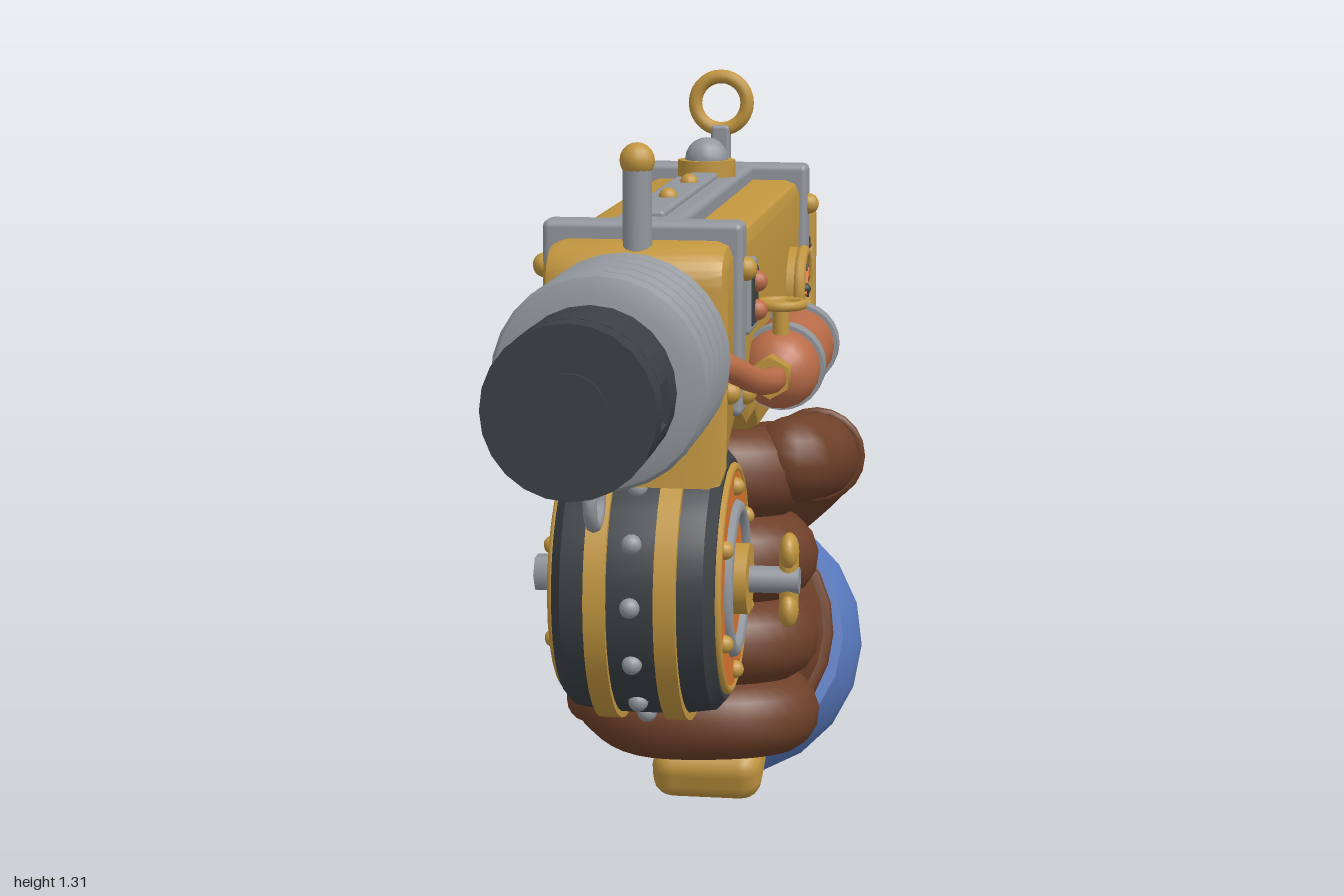
import * as THREE from 'three';
import { toCreasedNormals } from 'three/addons/utils/BufferGeometryUtils.js';
import { RoundedBoxGeometry } from 'three/addons/geometries/RoundedBoxGeometry.js';

const mat = (name, color) => Object.assign(new THREE.MeshStandardMaterial({ color }), { name });
const V = (x, y, z) => new THREE.Vector3(x, y, z);

export function createModel() {
  const brass = mat('brass', 0xc2963f), leather = mat('leather', 0x6e4029), wood = mat('wood', 0x64392a),
    steel = mat('steel', 0x92979d), iron = mat('iron', 0x3b4044), copper = mat('copper', 0xb96c48),
    orange = mat('orange', 0xd9762f), blue = mat('blue', 0x5b7cc2), cream = mat('cream', 0xd3ad6b);
  const model = new THREE.Group(), gun = new THREE.Group(), arm = new THREE.Group();
  gun.name = 'gun'; arm.name = 'glovedArm';
  gun.position.x = 0.013;
  model.add(gun, arm);
  let parent = gun;

  const add = (name, geo, m, x = 0, y = 0, z = 0, rx = 0) => {
    const mesh = new THREE.Mesh(geo, m);
    mesh.name = name; mesh.position.set(x, y, z); mesh.rotation.x = rx;
    parent.add(mesh);
    return mesh;
  };
  const box = (w, h, d, r = 0.01) => new RoundedBoxGeometry(w, h, d, 2, r);
  const cylX = (r, l, n = 24) => new THREE.CylinderGeometry(r, r, l, n).rotateZ(Math.PI / 2);
  const cylZ = (r, l, n = 24) => new THREE.CylinderGeometry(r, r, l, n).rotateX(Math.PI / 2);
  const cylY = (r, l, n = 16) => new THREE.CylinderGeometry(r, r, l, n);
  const ball = (r) => new THREE.SphereGeometry(r, 14, 10);
  const lathe = (pts, n = 28) => toCreasedNormals(
    new THREE.LatheGeometry(pts.map((p) => new THREE.Vector2(p[0], p[1])), n), 0.6);
  const tube = (pts, r, n = 24, s = 12) =>
    new THREE.TubeGeometry(new THREE.CatmullRomCurve3(pts), n, r, s);
  const torusX = (R, r) => new THREE.TorusGeometry(R, r, 8, 28).rotateY(Math.PI / 2);
  // side profile given as (z, y), extruded across the width
  const slab = (shape, width, bevel) => toCreasedNormals(new THREE.ExtrudeGeometry(shape, {
    depth: width - 2 * bevel, bevelEnabled: true, bevelThickness: bevel, bevelSize: bevel,
    bevelOffset: -bevel, bevelSegments: 2, curveSegments: 20,
  }).translate(0, 0, bevel - width / 2).rotateY(-Math.PI / 2), 0.5);

  // slotted muzzle
  add('muzzleFront', cylZ(0.107, 0.043), iron, 0, 1, 0.9785);
  add('muzzleRear', cylZ(0.107, 0.055), iron, 0, 1, 0.873);
  add('muzzleCap', cylZ(0.048, 0.008), iron, 0, 1, 1);
  for (const s of [1, -1]) {
    const wall = new THREE.Shape();
    wall.absarc(0, 0, 0.107, 0.27, Math.PI - 0.27, false);
    wall.absarc(0, 0, 0.08, Math.PI - 0.27, 0.27, true);
    const w = add('muzzleWall', new THREE.ExtrudeGeometry(wall, { depth: 0.06, bevelEnabled: false }), iron, 0, 1, 0.899);
    if (s < 0) w.rotation.z = Math.PI;
  }

  // barrel, cooling fins and hanging ring
  add('barrelCollar', cylZ(0.092, 0.05), brass, 0, 1, 0.825);
  add('barrelCore', cylZ(0.082, 0.32), steel, 0, 1, 0.68);
  add('barrelNeck', cylZ(0.105, 0.07), brass, 0, 1, 0.55);
  for (let i = 0; i < 5; i++)
    add('coolingFin', lathe([[0, -0.018], [0.11, -0.018], [0.135, -0.009], [0.14, 0], [0.135, 0.009], [0.11, 0.018], [0, 0.018]]),
      steel, 0, 1, 0.59 + i * 0.0475, Math.PI / 2);
  add('barrelRing', torusX(0.033, 0.009), steel, 0, 0.86, 0.825);
  add('ringLug', cylY(0.018, 0.03), brass, 0, 0.9, 0.825);

  // receiver with wheel arch
  const b = new THREE.Shape();
  b.moveTo(0.53, 0.815); b.lineTo(0.53, 1.08); b.quadraticCurveTo(0.53, 1.14, 0.46, 1.14);
  b.lineTo(-0.46, 1.14); b.lineTo(-0.46, 0.82); b.lineTo(0.11, 0.82); b.lineTo(0.15, 0.85);
  b.lineTo(0.245, 0.85); b.absarc(0.37, 0.655, 0.226, 2.13, 0.79, true);
  add('receiver', slab(b, 0.25, 0.022), brass);
  add('frontStrap', box(0.275, 0.265, 0.05), steel, 0, 1.032, 0.425);
  add('rearStrap', box(0.275, 0.37, 0.05), steel, 0, 0.98, -0.405);
  add('topRail', box(0.1, 0.035, 0.8), steel, 0, 1.147, 0.02);
  add('railRib', box(0.045, 0.02, 0.74, 0.006), steel, 0, 1.163, 0.02);
  for (const z of [0.21, 0, -0.32]) add('railRivet', ball(0.014), brass, 0, 1.172, z);
  for (const s of [1, -1]) {
    for (const [y, z] of [[1.1, 0.425], [0.93, 0.425], [1.1, -0.405], [0.84, -0.405]])
      add('strapRivet', ball(0.017), brass, s * 0.138, y, z);
    for (const z of [-0.12, -0.22, -0.31]) add('bodyRivet', ball(0.014), brass, s * 0.125, 0.855, z);
    add('frontRivet', ball(0.016), brass, s * 0.125, 0.94, 0.49);
  }

  // sights and filler nut
  add('frontSight', cylY(0.02, 0.12), steel, 0, 1.185, 0.485);
  add('frontSightTip', ball(0.024), brass, 0, 1.25, 0.485);
  add('rearSightPost', box(0.03, 0.1, 0.03, 0.006), steel, 0, 1.18, -0.36);
  add('rearSightRing', new THREE.TorusGeometry(0.042, 0.011, 10, 28), brass, 0, 1.265, -0.36);
  add('fillerCollar', cylY(0.045, 0.035), brass, 0, 1.172, -0.19);
  add('fillerDome', ball(0.034), steel, 0, 1.19, -0.19);

  // stock and butt plate
  const st = new THREE.Shape([[-0.44, 0.835], [-0.44, 1.06], [-0.85, 1.03], [-0.85, 0.755]].map((p) => new THREE.Vector2(...p)));
  add('stock', slab(st, 0.19, 0.018), wood);
  add('buttPlate', box(0.21, 0.3, 0.042, 0.014), brass, 0, 0.895, -0.864);
  for (const y of [0.81, 0.97]) add('buttScrew', ball(0.016), steel, 0, y, -0.884);
  add('stockRingPost', cylY(0.018, 0.06), steel, 0, 0.78, -0.705);
  add('stockRing', torusX(0.036, 0.01), steel, 0, 0.72, -0.705);
  add('stockPatch', box(0.018, 0.15, 0.245, 0.006), iron, 0.095, 0.93, -0.66);
  add('stockPatchFace', box(0.018, 0.128, 0.222, 0.006), wood, 0.098, 0.93, -0.66);
  for (let i = 0; i < 11; i++) for (const s of [1, -1])
    add('stitch', new THREE.BoxGeometry(0.006, 0.006, 0.011), cream, 0.107, 0.93 + s * 0.053, -0.755 + i * 0.019);
  for (let i = 0; i < 5; i++) for (const s of [1, -1])
    add('stitch', new THREE.BoxGeometry(0.006, 0.011, 0.006), cream, 0.107, 0.89 + i * 0.02, -0.66 + s * 0.1);

  // copper tank with straps, pipe and valve
  add('tank', new THREE.CapsuleGeometry(0.057, 0.24, 6, 18).rotateX(Math.PI / 2), copper, 0.165, 0.932, 0.115);
  for (const z of [0.205, 0]) add('tankStrap', cylZ(0.062, 0.035), steel, 0.165, 0.932, z);
  add('pipe', tube([V(0.165, 0.93, 0.27), V(0.165, 0.935, 0.36), V(0.15, 0.955, 0.46), V(0.12, 0.985, 0.53), V(0.08, 1, 0.56)], 0.018), copper);
  add('pipeNut', cylZ(0.03, 0.035, 6), brass, 0.16, 0.932, 0.3);
  add('valveStem', cylY(0.012, 0.06), brass, 0.167, 1, 0.245);
  add('valveWheel', new THREE.TorusGeometry(0.031, 0.007, 8, 24).rotateX(Math.PI / 2), brass, 0.167, 1.027, 0.245);
  for (let i = 0; i < 2; i++)
    add('valveSpoke', new THREE.BoxGeometry(0.06, 0.007, 0.009), brass, 0.167, 1.027, 0.245).rotation.y = i * Math.PI / 2;

  // pressure gauge
  add('gaugeBody', cylX(0.066, 0.03), brass, 0.13, 0.98, -0.26);
  add('gaugeRim', torusX(0.06, 0.01), brass, 0.145, 0.98, -0.26);
  add('gaugeFace', cylX(0.052, 0.006), cream, 0.145, 0.98, -0.26);
  for (let i = 0; i < 7; i++) {
    const a = -0.4 + i * 0.65;
    add('gaugeMark', new THREE.BoxGeometry(0.004, 0.015, 0.006), iron, 0.149, 0.98 + 0.038 * Math.sin(a), -0.26 + 0.038 * Math.cos(a), Math.PI / 2 - a);
  }
  add('gaugeNeedle', new THREE.BoxGeometry(0.005, 0.05, 0.008), orange, 0.15, 0.99, -0.268, -0.7);
  add('gaugePin', ball(0.009), iron, 0.149, 0.98, -0.26);

  // lamp panel on the left, knob panel and vent on the right
  add('lampFrame', box(0.03, 0.1, 0.085, 0.006), steel, 0.125, 1.052, 0.34);
  add('lampPanel', box(0.034, 0.08, 0.062, 0.004), iron, 0.126, 1.052, 0.34);
  for (const y of [1.072, 1.032]) add('lamp', ball(0.015), copper, 0.144, y, 0.34);
  add('knobPanel', box(0.014, 0.11, 0.15, 0.004), iron, -0.125, 1.045, 0.05);
  for (const [y, z] of [[1.05, 0.035], [0.975, 0.185]]) {
    add('knobStem', cylX(0.016, 0.06), brass, -0.135, y, z);
    add('knob', ball(0.027), copper, -0.165, y, z);
  }
  add('sideLug', box(0.03, 0.05, 0.04, 0.008), steel, -0.135, 1.05, 0.36);
  add('ventPlate', box(0.014, 0.11, 0.13, 0.004), copper, -0.124, 1.0, -0.17);
  for (let i = 0; i < 3; i++) for (let j = 0; j < 3; j++)
    add('ventStud', ball(0.014), (i + j) % 2 ? iron : brass, -0.13, 0.965 + i * 0.035, -0.21 + j * 0.04);

  // drum wheel
  const wheel = new THREE.Group();
  wheel.name = 'drumWheel'; wheel.position.set(0, 0.655, 0.37);
  gun.add(wheel); parent = wheel;
  add('drum', lathe([[0, -0.112], [0.17, -0.112], [0.186, -0.098], [0.193, -0.05], [0.193, 0.05], [0.186, 0.098], [0.17, 0.112], [0, 0.112]], 36).rotateZ(Math.PI / 2), iron);
  for (const s of [1, -1]) {
    add('drumBand', cylX(0.202, 0.03, 36), brass, s * 0.048);
    add('drumRim', torusX(0.157, 0.007), brass, s * 0.113);
    add('drumDisc', cylX(0.155, 0.014, 36), orange, s * 0.111);
    add('drumRing', torusX(0.1, 0.012), steel, s * 0.117);
    add('hub', cylX(0.05, 0.05), brass, s * 0.115);
    for (let i = 0; i < 6; i++) {
      const a = (i + 0.5) * Math.PI / 3;
      add('drumRivet', ball(0.013), brass, s * 0.119, 0.132 * Math.sin(a), 0.132 * Math.cos(a));
    }
  }
  for (let i = 0; i < 14; i++) {
    const a = i * Math.PI / 7;
    add('drumBolt', ball(0.014), steel, 0, 0.193 * Math.sin(a), 0.193 * Math.cos(a));
  }
  add('axle', cylX(0.019, 0.1), steel, 0.16);
  add('axleNut', cylX(0.027, 0.05, 6), steel, -0.14);
  add('crank', new THREE.CapsuleGeometry(0.014, 0.08, 4, 12), brass, 0.195);
  for (const s of [1, -1]) add('crankKnob', ball(0.026), brass, 0.195, s * 0.042).scale.x = 0.55;

  // grip
  parent = gun;
  add('grip', box(0.15, 0.62, 0.2, 0.04), leather, 0, 0.53, -0.18, 0.3);
  add('gripCap', box(0.18, 0.09, 0.225, 0.035), brass, 0, 0.213, -0.283, 0.32);

  // palm, wrist and flared glove edge as a loft of ellipses: x, y, z, half width, half height
  parent = arm;
  const loft = (rings, n) => {
    const pos = [], idx = [];
    rings.forEach(([x, y, z, rx, rv], i) => {
      for (let j = 0; j < n; j++) {
        const a = j / n * Math.PI * 2, c = Math.cos(a) * rx, s = Math.sin(a) * rv;
        pos.push(x + c, y + 0.94 * s, z - 0.34 * s);
        if (i) {
          const k = (j + 1) % n, p = (i - 1) * n, q = i * n;
          idx.push(p + j, p + k, q + j, p + k, q + k, q + j);
        }
      }
    });
    const g = new THREE.BufferGeometry();
    g.setAttribute('position', new THREE.Float32BufferAttribute(pos, 3));
    g.setIndex(idx); g.computeVertexNormals();
    return g;
  };
  add('palm', loft([
    [-0.025, 0.325, -0.595, 0.005, 0.005], [-0.025, 0.325, -0.595, 0.195, 0.195], [-0.025, 0.333, -0.575, 0.2, 0.2],
    [-0.025, 0.353, -0.52, 0.158, 0.16], [-0.02, 0.4, -0.42, 0.122, 0.12], [-0.03, 0.45, -0.32, 0.13, 0.15],
    [-0.045, 0.53, -0.22, 0.145, 0.225], [-0.045, 0.57, -0.12, 0.145, 0.235], [-0.03, 0.58, -0.03, 0.12, 0.19],
    [-0.02, 0.58, 0, 0.01, 0.01]], 22), leather);
  const axis = V(0, -0.34, -0.94).normalize();
  const along = (mesh) => mesh.quaternion.setFromUnitVectors(V(0, 1, 0), axis);
  along(add('gloveHem', new THREE.TorusGeometry(0.194, 0.015, 8, 24).rotateX(Math.PI / 2), leather, -0.025, 0.333, -0.578));

  // curled fingers, front reach and height for each
  [[0.735, 0.1], [0.595, 0.078], [0.455, 0.045], [0.32, 0.0]].forEach(([y, f], i) => {
    const r = 0.07 - i * 0.002;
    const pts = [V(-0.12, y + 0.03, f - 0.21), V(-0.125, y + 0.015, f - 0.12), V(-0.07, y, f - r - 0.005),
      V(0.07, y, f - r - 0.005), V(0.135, y - 0.005, f - 0.13), V(0.125, y - 0.015, f - 0.22)];
    add('finger', tube(pts, r, 28, 14), leather);
    for (const p of [pts[0], pts[5]]) add('fingerEnd', ball(r), leather, p.x, p.y, p.z);
    add('knuckle', ball(0.038), leather, -0.165, y + 0.01, f - 0.12);
  });
  // thumb
  const th = [V(0.03, 0.56, -0.27), V(0.12, 0.64, -0.24), V(0.19, 0.715, -0.17), V(0.2, 0.745, -0.09), V(0.17, 0.75, -0.02)];
  add('thumb', tube(th, 0.067, 24, 14), leather);
  add('thumbTip', ball(0.067), leather, th[4].x, th[4].y, th[4].z);
  add('thumbSeam', new THREE.TorusGeometry(0.067, 0.008, 8, 20), leather, 0.2, 0.745, -0.09);
  add('thumbBase', ball(0.1), leather, 0.02, 0.7, -0.2);

  // blue cuff with buttons
  along(add('cuff', lathe([[0, 0.02], [0.195, 0.02], [0.2, 0], [0.222, 0], [0.243, 0.07], [0.245, 0.13], [0.232, 0.175],
    [0.208, 0.195], [0.208, 0.315], [0.2, 0.325], [0, 0.325]], 20), blue, -0.025, 0.315, -0.62));
  for (const [y, z] of [[0.36, -0.74], [0.2, -0.68]]) add('cuffButton', ball(0.034), brass, -0.252, y, z).scale.x = 0.7;
  return model;
}
